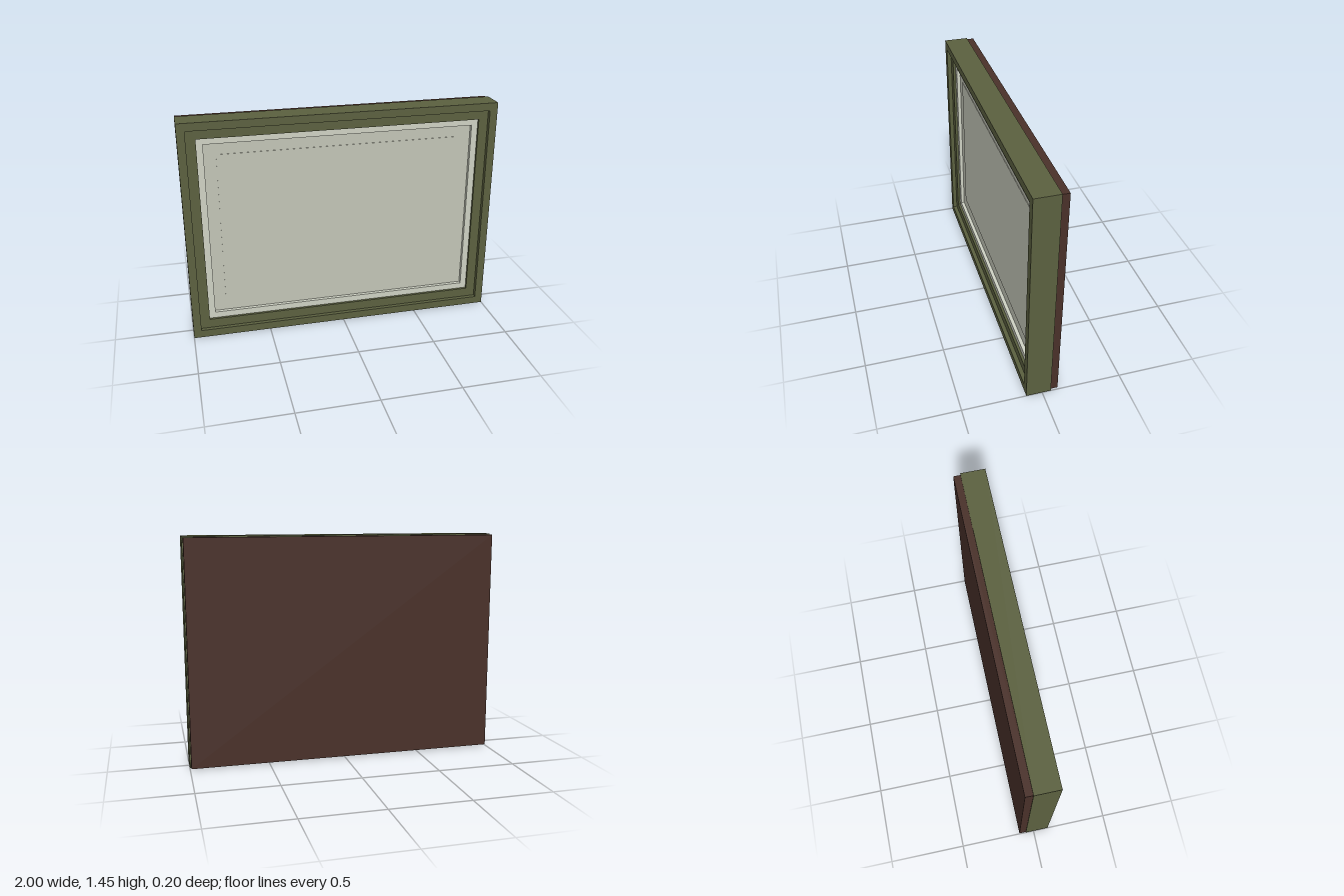
import * as THREE from 'three';

const W = 2, H = 1.445;

export function createModel() {
  const group = new THREE.Group();
  const mat = (name, color) => Object.assign(new THREE.MeshStandardMaterial({ color }), { name });
  const green = mat('olive green', 0x5c6140);
  const brown = mat('dark brown', 0x4a312a);
  const cream = mat('pale cream', 0xd0d3c5);
  const paper = mat('grey paper', 0xc4c6b8);

  const add = (name, geometry, material) => {
    const mesh = new THREE.Mesh(geometry, material);
    mesh.name = name;
    group.add(mesh);
    return mesh;
  };

  // Corners of the frame rectangle moved inward by d
  const corners = (d) => [
    new THREE.Vector2(-W / 2 + d, d), new THREE.Vector2(W / 2 - d, d),
    new THREE.Vector2(W / 2 - d, H - d), new THREE.Vector2(-W / 2 + d, H - d),
  ];

  // Rectangular moulding between two insets, from z0 to z1
  const ring = (name, outer, inner, z0, z1, material) => {
    const shape = new THREE.Shape(corners(outer));
    shape.holes.push(new THREE.Path(corners(inner).reverse()));
    const geometry = new THREE.ExtrudeGeometry(shape, { depth: z1 - z0, bevelEnabled: false });
    geometry.translate(0, 0, z0);
    add(name, geometry, material);
  };

  const box = (name, x0, x1, y0, y1, z0, z1, material) => {
    const mesh = add(name, new THREE.BoxGeometry(x1 - x0, y1 - y0, z1 - z0), material);
    mesh.position.set((x0 + x1) / 2, (y0 + y1) / 2, (z0 + z1) / 2);
  };

  // Stepped mouldings, from the outer edge inward
  ring('outerFrame', 0, 0.05, -0.055, 0.1, green);
  ring('innerFrame', 0.05, 0.11, -0.055, 0.073, green);
  ring('innerLip', 0.11, 0.15, -0.055, 0.057, cream);

  // Mount with the thin picture sheet on it
  box('mount', -0.85, 0.85, 0.15, H - 0.15, -0.055, 0.034, paper);
  box('pictureSheet', -0.775, 0.77, 0.23, 1.22, 0.034, 0.037, paper);

  // Backing board
  box('backBoard', -0.997, 0.992, 0.007, 1.438, -0.1, -0.055, brown);

  return group;
}
